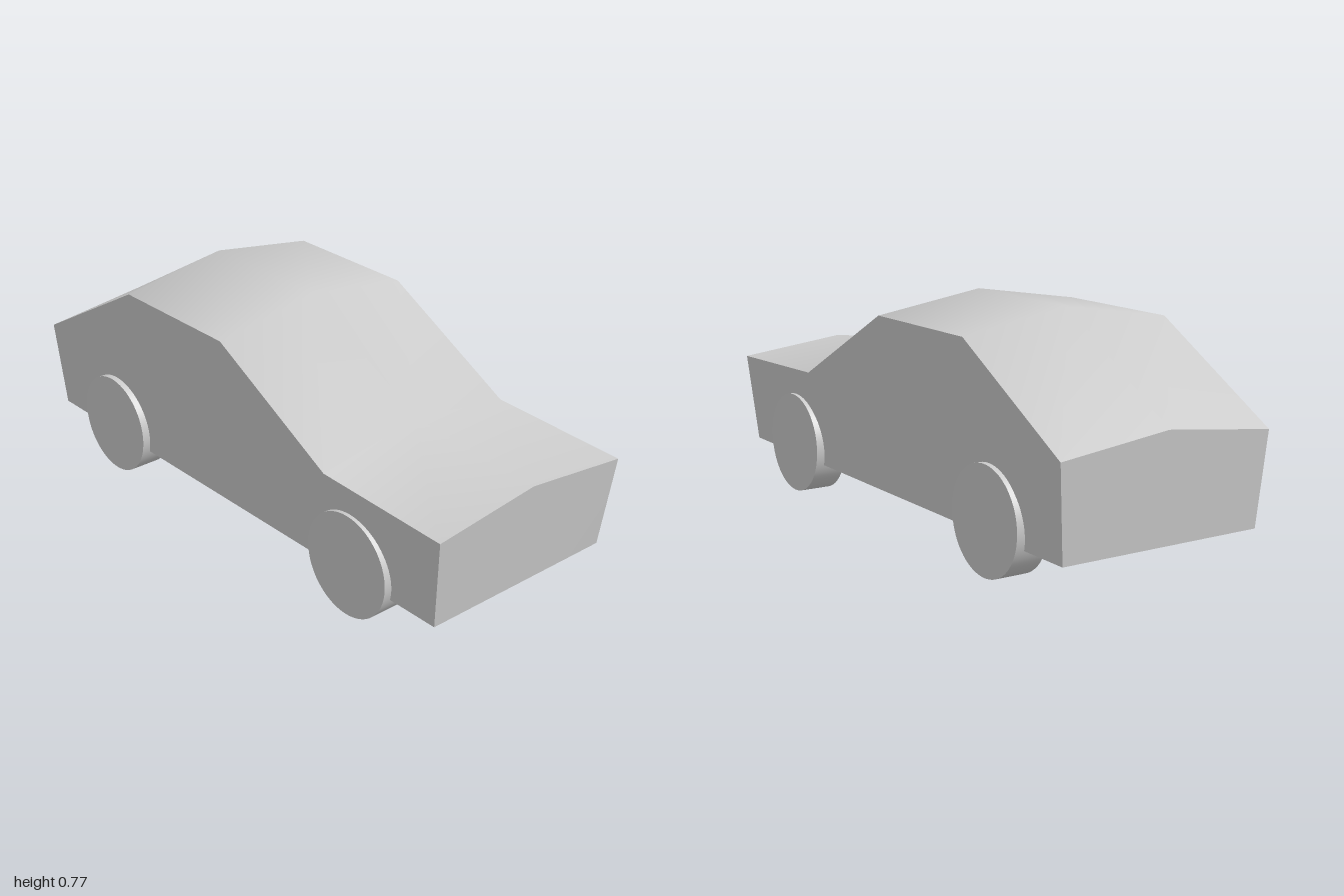
import * as THREE from 'three';

const material = new THREE.MeshStandardMaterial({ color: 0xcccccc });

// Roofline stations from rear to front: [height at the side, height at the ridge]
const roofline = [[0.43, 0.475], [0.71, 0.77], [0.71, 0.77], [0.445, 0.505], [0.43, 0.475]];

function makeBody() {
  // A segmented box: the top follows the roofline, the floor is drawn in
  const geometry = new THREE.BoxGeometry(2, 2, 2, 2, 1, 4);
  const p = geometry.attributes.position;
  for (let i = 0; i < p.count; i++) {
    const x = p.getX(i), z = p.getZ(i);
    if (p.getY(i) > 0) {
      const [side, ridge] = roofline[Math.round((z + 1) * 2)];
      p.setXYZ(i, x * 0.385, Math.abs(x) < 0.5 ? ridge : side, z);
    } else {
      p.setXYZ(i, x * 0.36, 0.12, z * (z > 0 ? 0.965 : 0.98));
    }
  }
  geometry.computeVertexNormals();
  const body = new THREE.Mesh(geometry, material);
  body.name = 'body';
  return body;
}

export function createModel() {
  const car = new THREE.Group();
  car.name = 'car';
  car.add(makeBody());

  // Four plain disc wheels
  const wheelGeometry = new THREE.CylinderGeometry(0.175, 0.175, 0.11, 64).rotateZ(Math.PI / 2);
  for (const [end, z] of [['front', 0.61], ['rear', -0.625]]) {
    for (const [side, sign] of [['Left', 1], ['Right', -1]]) {
      const wheel = new THREE.Mesh(wheelGeometry, material);
      wheel.name = `${end}${side}Wheel`;
      wheel.position.set(sign * 0.336, 0.175, z);
      car.add(wheel);
    }
  }
  return car;
}
